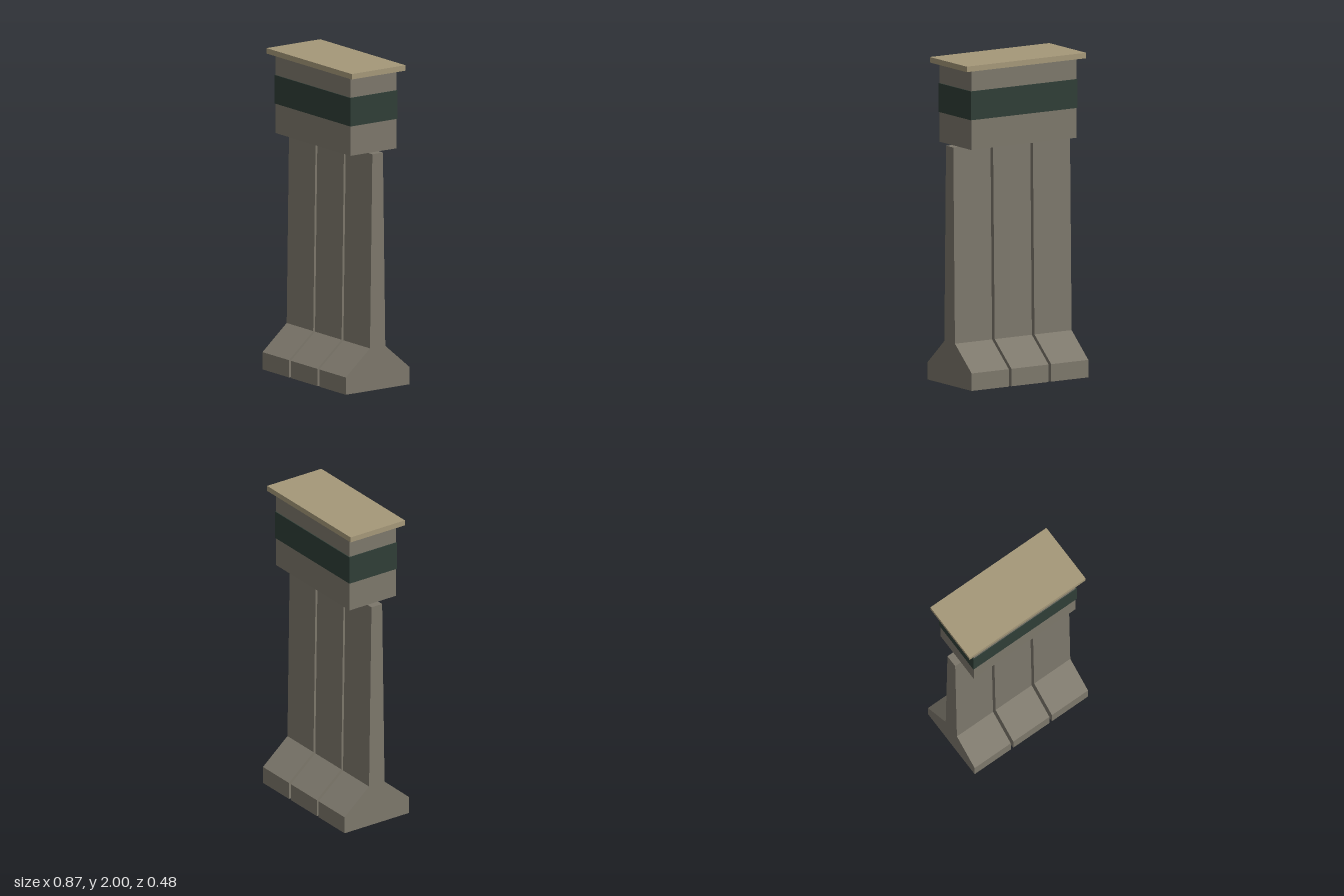
import * as THREE from 'three';

const material = (name, color) => {
  const m = new THREE.MeshStandardMaterial({ color });
  m.name = name;
  return m;
};

export function createModel() {
  const model = new THREE.Group();
  model.name = 'guardTower';
  const concrete = material('concrete', 0x7c776b);
  const glass = material('dark green glass', 0x2f3e37);
  const roofTan = material('roof tan', 0xa59879);

  // Box given by its width, depth and the heights of its bottom and top
  const addBox = (name, mat, width, depth, bottom, top) => {
    const mesh = new THREE.Mesh(new THREE.BoxGeometry(width, top - bottom, depth), mat);
    mesh.position.y = (bottom + top) / 2;
    mesh.name = name;
    model.add(mesh);
  };

  // Barrier wall segments: half profile (z, y) mirrored, extruded along x
  const half = [[0.241, 0], [0.241, 0.108], [0.058, 0.265], [0.04, 1.475]];
  const outline = [...half, ...half.map(([z, y]) => [-z, y]).reverse()];
  const profile = new THREE.Shape(outline.map(([z, y]) => new THREE.Vector2(z, y)));
  const width = 0.272;
  const wallGeometry = new THREE.ExtrudeGeometry(profile, { depth: width, bevelEnabled: false });
  wallGeometry.translate(0, 0, -width / 2).rotateY(Math.PI / 2);
  ['right', 'middle', 'left'].forEach((side, i) => {
    const wall = new THREE.Mesh(wallGeometry, concrete);
    wall.position.x = (i - 1) * 0.291;
    wall.name = side + 'BarrierWall';
    model.add(wall);
  });

  // Cabin, wraparound window band and overhanging roof
  addBox('cabin', concrete, 0.768, 0.346, 1.475, 1.966);
  addBox('windowBand', glass, 0.78, 0.356, 1.66, 1.838);
  addBox('roof', roofTan, 0.874, 0.406, 1.966, 2);

  return model;
}
